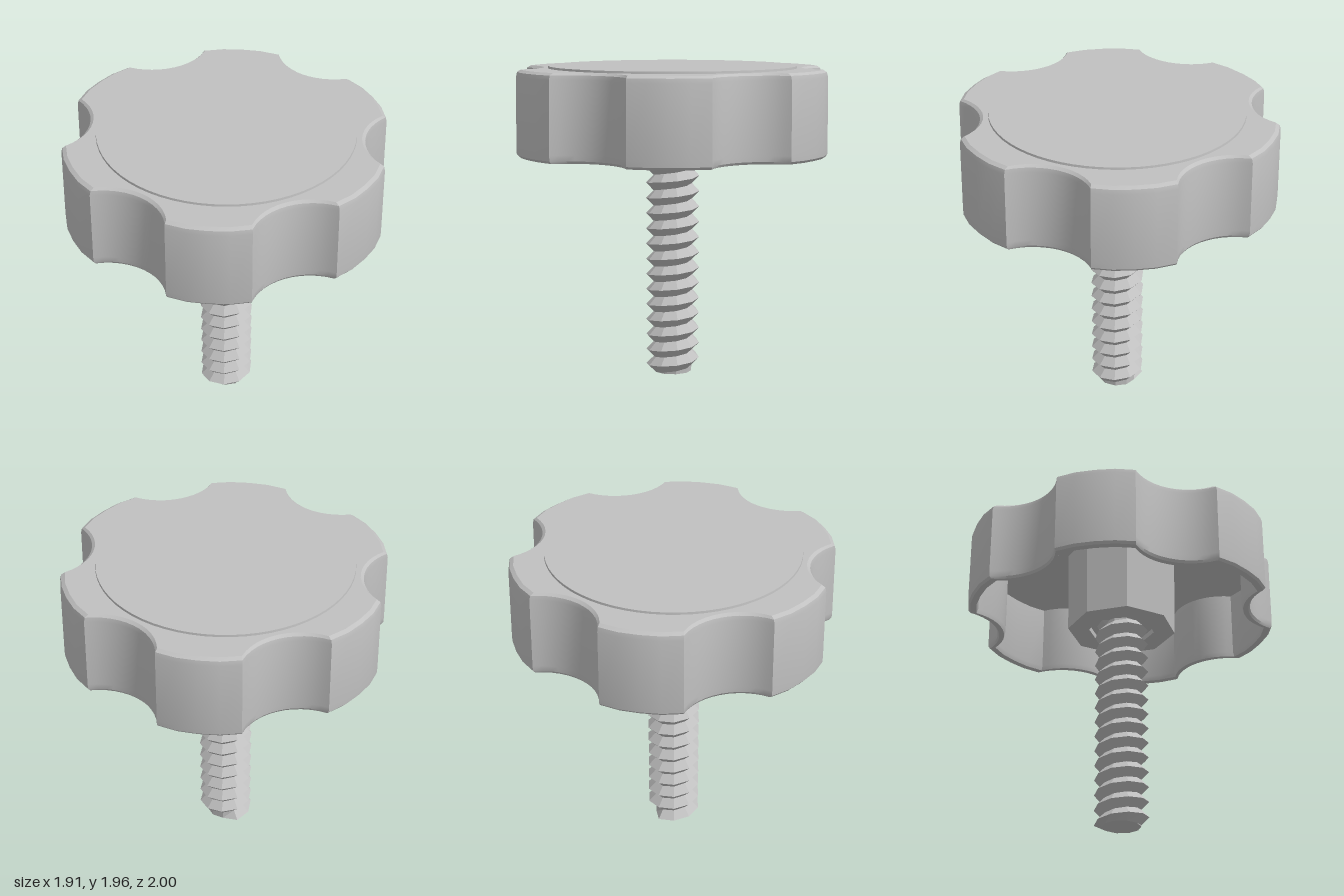
import * as THREE from 'three';
import { toCreasedNormals } from 'three/addons/utils/BufferGeometryUtils.js';

// Skins a stack of equally long point rings; faces look outward when the rings climb.
function loft(rings, crease) {
  const pos = [];
  const tri = (a, b, c) => {
    const n = b.clone().sub(a).cross(c.clone().sub(a));
    if (n.length() > 1e-8) for (const p of [a, b, c]) pos.push(p.x, p.y, p.z);
  };
  for (let i = 0; i < rings.length - 1; i++) {
    for (let j = 0; j < rings[i].length - 1; j++) {
      const a = rings[i][j], b = rings[i][j + 1];
      const c = rings[i + 1][j + 1], d = rings[i + 1][j];
      tri(a, b, c);
      tri(a, c, d);
    }
  }
  const geo = new THREE.BufferGeometry();
  geo.setAttribute('position', new THREE.Float32BufferAttribute(pos, 3));
  return toCreasedNormals(geo, crease);
}

// Six broad lobes separated by circular finger scoops
function knobOutline() {
  const pts = [];
  const polar = (r, a) => pts.push([r * Math.sin(a), r * Math.cos(a)]);
  const half = THREE.MathUtils.degToRad(14.3);
  for (let k = 0; k < 6; k++) {
    const mid = k * Math.PI / 3;
    for (let i = 0; i <= 4; i++) polar(i % 4 ? 1 : 0.99, mid + half * (i / 2 - 1));
    for (let i = 1; i < 12; i++) {
      const t = 0.83 * (i / 6 - 1);
      const u = 1.198 - 0.363 * Math.cos(t), v = 0.363 * Math.sin(t);
      polar(Math.hypot(u, v), mid + Math.PI / 6 + Math.atan2(v, u));
    }
  }
  pts.push(pts[0]);
  return pts;
}

// Hollow cup: ceiling, inner wall, rim, outer wall, rounded shoulder, top
function knobGeometry() {
  const outline = knobOutline();
  const profile = [
    [0, 1.87], [0.93, 1.87], [0.935, 1.44], [0.945, 1.41], [0.985, 1.41],
    [0.998, 1.425], [1, 1.46], [0.995, 1.9], [0.988, 1.927], [0.965, 1.941], [0, 1.945],
  ];
  return loft(profile.map(([s, y]) =>
    outline.map(([x, z]) => new THREE.Vector3(x * s, y, z * s))), 0.5);
}

// Right-handed coarse thread with alternating crest and root helices
function threadGeometry(pitch, bottom, top) {
  const sides = 10, rings = [];
  const rows = Math.ceil(2 * (top - bottom) / pitch) + 1;
  for (let k = -2; k <= rows; k++) {
    const ring = [];
    for (let j = 0; j <= sides; j++) {
      const a = j / sides * Math.PI * 2;
      const y = bottom + pitch * (k / 2 + j / sides);
      let r = k % 2 ? 0.17 : 0.122;
      if (y <= bottom || y >= top) r = 0.12;
      ring.push(new THREE.Vector3(
        r * Math.sin(a), THREE.MathUtils.clamp(y, bottom, top), r * Math.cos(a)));
    }
    rings.push(ring);
  }
  // closed tip
  rings.unshift(rings[0].map(() => new THREE.Vector3(0, bottom, 0)));
  return loft(rings, 0.1);
}

export function createModel() {
  const group = new THREE.Group();
  const grey = new THREE.MeshStandardMaterial({ color: 0xc0c0c0 });
  grey.name = 'grey';
  const add = (name, geo) => {
    const mesh = new THREE.Mesh(geo, grey);
    mesh.name = name;
    group.add(mesh);
    return mesh;
  };

  add('knobShell', knobGeometry());

  // Thin round cap set on the knob top
  const cap = add('topCap', toCreasedNormals(new THREE.CylinderGeometry(0.775, 0.778, 0.025, 64), 0.5));
  cap.position.y = 1.9425;

  // Eight-sided hub with a shallow recess around the screw
  const hubProfile = [[0, 1.37], [0.21, 1.37], [0.21, 1.335], [0.345, 1.335], [0.35, 1.9]]
    .map(([x, y]) => new THREE.Vector2(x, y));
  add('hub', toCreasedNormals(new THREE.LatheGeometry(hubProfile, 8), 0.3));

  add('threadedScrew', threadGeometry(0.098, 0, 1.4));
  return group;
}
